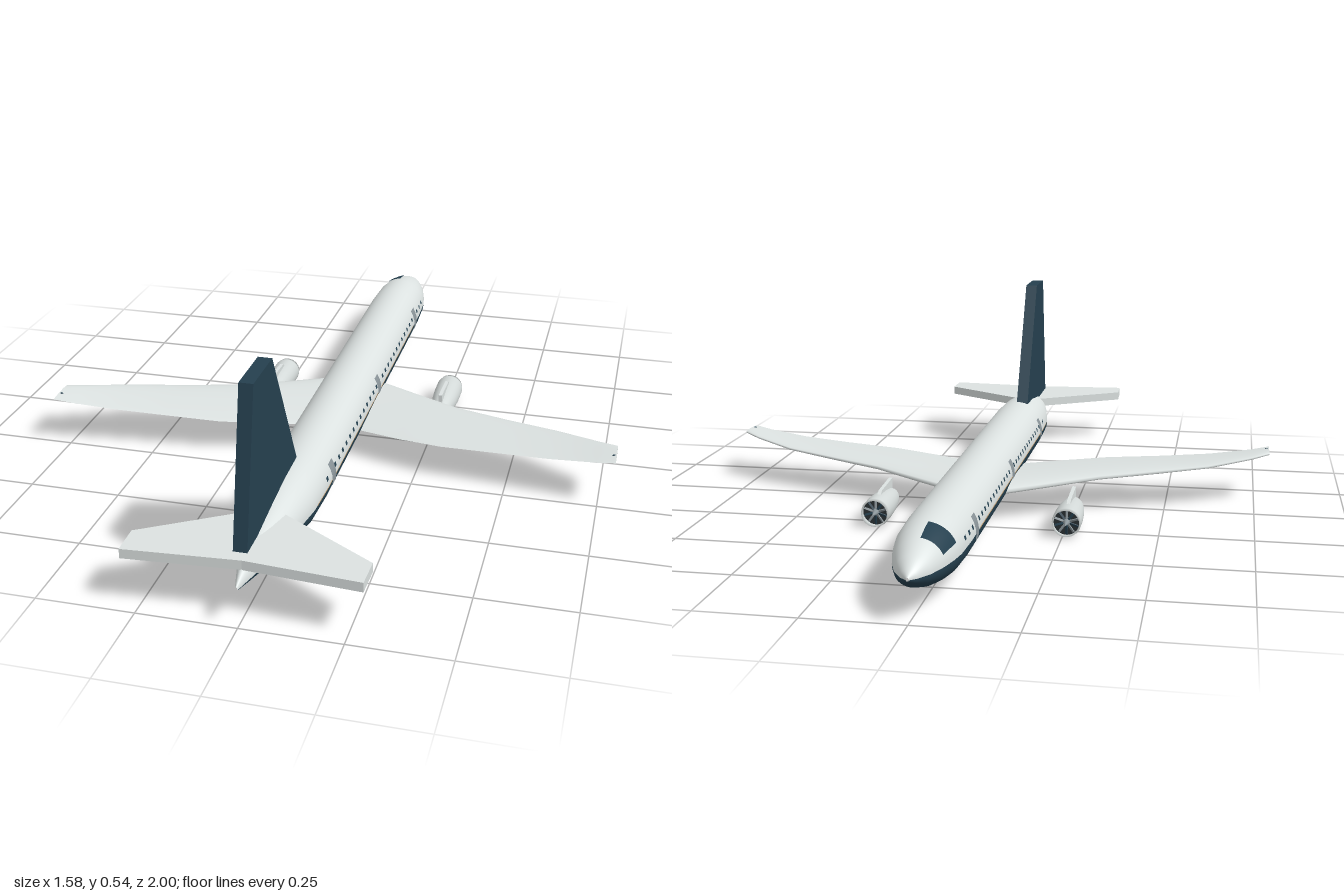
import * as THREE from 'three';

const mat = (name, color, side = THREE.FrontSide) => {
  const m = new THREE.MeshStandardMaterial({ color, side });
  m.name = name;
  return m;
};
const D = Math.PI / 180;

// Fuselage stations: z, top y, bottom y, half width
const CY = 0.105;
const STATIONS = [
  [-1, 0.111, 0.102, 0.003], [-0.985, 0.126, 0.09, 0.02], [-0.95, 0.147, 0.071, 0.042],
  [-0.9, 0.166, 0.055, 0.06], [-0.85, 0.179, 0.045, 0.072], [-0.8, 0.186, 0.039, 0.08],
  [-0.7, 0.19, 0.035, 0.084], [0.5, 0.19, 0.035, 0.084], [0.62, 0.186, 0.038, 0.08],
  [0.74, 0.172, 0.052, 0.062], [0.85, 0.156, 0.071, 0.04], [0.94, 0.14, 0.09, 0.019], [1, 0.112, 0.103, 0.003],
];

// Point on the fuselage skin at z and angle a (0 = +x side, 90 degrees = top)
function skin(z, a, off = 0) {
  let i = 0;
  while (i < STATIONS.length - 2 && z > STATIONS[i + 1][0]) i++;
  const p = STATIONS[i], q = STATIONS[i + 1], t = (z - p[0]) / (q[0] - p[0]);
  const [top, bot, w] = [1, 2, 3].map((k) => p[k] + (q[k] - p[k]) * t);
  const h = Math.sin(a) >= 0 ? top - CY : CY - bot;
  return [(w + off) * Math.cos(a), CY + (h + off) * Math.sin(a), z];
}

// Surface from a rows x cols grid of points
function grid(rows, cols, point, flip = false) {
  const pos = [], idx = [];
  for (let i = 0; i <= rows; i++) for (let j = 0; j <= cols; j++) pos.push(...point(i, j));
  for (let i = 0; i < rows; i++) {
    for (let j = 0; j < cols; j++) {
      const a = i * (cols + 1) + j, b = a + 1, c = a + cols + 1, d = c + 1;
      if (flip) idx.push(a, c, b, b, c, d);
      else idx.push(a, b, c, b, d, c);
    }
  }
  const g = new THREE.BufferGeometry();
  g.setAttribute('position', new THREE.Float32BufferAttribute(pos, 3));
  g.setIndex(idx);
  g.computeVertexNormals();
  return g;
}

// Strip of skin between two z values and two angles in degrees
function patch(z0, z1, a0, a1, off, cols = 4) {
  const zs = [z0, ...STATIONS.map((s) => s[0]).filter((z) => z > z0 && z < z1), z1];
  return grid(zs.length - 1, cols, (i, j) => skin(zs[i], (a0 + ((a1 - a0) * j) / cols) * D, off));
}

function outline(points) {
  return new THREE.Shape(points.map(([x, y]) => new THREE.Vector2(x, y)));
}

export function createModel() {
  const white = mat('white paint', 0xdce2e1);
  const shell = mat('engine shell', 0xd3d9d8, THREE.DoubleSide);
  const blue = mat('dark blue paint', 0x25404f);
  const gold = mat('tan trim', 0xd2ad80);
  const grey = mat('door grey', 0x8b959a);
  const dark = mat('fan shadow', 0x2a3034, THREE.DoubleSide);

  const model = new THREE.Group();
  model.name = 'airliner';
  const add = (name, geo, material, parent = model) => {
    const m = new THREE.Mesh(geo, material);
    m.name = name;
    parent.add(m);
    return m;
  };

  // Body in two colours
  add('upperFuselage', patch(-1, 1, 0, 180, 0, 24), white);
  add('lowerFuselage', patch(-1, 1, 180, 360, 0, 24), blue);

  // Trim, doors and windows on both sides
  const doors = [-0.635, -0.095, 0.445];
  for (const s of [1, -1]) {
    const side = (z, w, a0, a1, off) => (s > 0
      ? patch(z - w / 2, z + w / 2, a0, a1, off)
      : patch(z - w / 2, z + w / 2, 180 - a1, 180 - a0, off));
    add('trimLine', side(0, 1.2, 0, 2.5, 0.0008), gold);
    for (const z of doors) add('door', side(z, 0.036, -11, 32, 0.002), grey);
    for (let k = 0; k < 32; k++) {
      const z = -0.755 + k * 0.0405;
      if (doors.every((d) => Math.abs(d - z) > 0.025)) add('window', side(z, 0.014, 13.5, 21, 0.0015), blue);
    }
  }
  add('cockpitWindow', patch(-0.895, -0.82, 95, 155, 0.002, 10), blue);

  // Wings: x, leading z, trailing z, mid y, half thickness
  const ribs = [
    [0, -0.235, 0.11, 0.083, 0.016], [0.08, -0.19, 0.13, 0.085, 0.015], [0.2, -0.12, 0.168, 0.091, 0.013],
    [0.32, -0.05, 0.197, 0.098, 0.011], [0.48, 0.01, 0.212, 0.106, 0.009], [0.62, 0.06, 0.228, 0.115, 0.007],
    [0.74, 0.125, 0.245, 0.129, 0.006], [0.79, 0.155, 0.253, 0.138, 0.005],
  ];
  for (const s of [1, -1]) {
    const wing = grid(ribs.length, 20, (i, j) => {
      const [x, zl, zt, y, t] = ribs[Math.min(i, ribs.length - 1)];
      const a = (j / 20) * Math.PI * 2, open = i < ribs.length ? 1 : 0;
      const c = Math.cos(a);
      // thick near the leading edge, thin at the trailing edge
      return [s * x, y + open * t * Math.sin(a) * (1 - 0.45 * c), (zl + zt) / 2 + open * ((zt - zl) / 2) * c];
    }, s > 0);
    add(s > 0 ? 'leftWing' : 'rightWing', wing, white);
    const lamp = add('wingTipLamp', new THREE.SphereGeometry(0.006, 10, 8), blue);
    lamp.position.set(s * 0.783, 0.137, 0.215);
  }

  // Tail fin
  const fin = new THREE.ExtrudeGeometry(
    outline([[0.51, 0.185], [0.7, 0.545], [0.845, 0.545], [0.925, 0.155], [0.9, 0.13], [0.6, 0.16]]),
    { depth: 0.035, bevelEnabled: false });
  fin.rotateY(-Math.PI / 2).translate(0.004, 0, 0);
  add('tailFin', fin, blue);

  // Tailplane
  const half = [[0.035, 0.735], [0.29, 0.895], [0.288, 0.978]];
  const tail = new THREE.ExtrudeGeometry(
    outline([...half, [0, 0.957], ...half.map(([x, z]) => [-x, z]).reverse()]),
    { depth: 0.025, bevelEnabled: false });
  tail.rotateX(Math.PI / 2).translate(0, 0.156, 0);
  add('tailplane', tail, white);

  // Engines
  const shellProfile = [[0.034, -0.3], [0.036, -0.315], [0.039, -0.3], [0.039, -0.25], [0.036, -0.2], [0.03, -0.155], [0.023, -0.13]];
  for (const s of [1, -1]) {
    const engine = new THREE.Group();
    engine.name = s > 0 ? 'leftEngine' : 'rightEngine';
    engine.position.set(s * 0.26, 0.041, 0);
    model.add(engine);
    const nacelle = new THREE.LatheGeometry(shellProfile.map(([r, z]) => new THREE.Vector2(r, z)), 28);
    add('nacelle', nacelle.rotateX(Math.PI / 2), shell, engine);
    add('intake', new THREE.CircleGeometry(0.037, 28), dark, engine).position.z = -0.29;
    add('exhaust', new THREE.CircleGeometry(0.024, 24), dark, engine).position.z = -0.138;
    for (let k = 0; k < 10; k++) {
      const blade = new THREE.BoxGeometry(0.006, 0.024, 0.003);
      blade.rotateY(0.5).translate(0, 0.021, 0).rotateZ((k * Math.PI) / 5);
      add('fanBlade', blade, k % 2 ? blue : grey, engine).position.z = -0.296;
    }
    const spinner = new THREE.ConeGeometry(0.011, 0.043, 16).rotateX(-Math.PI / 2);
    add('spinner', spinner, grey, engine).position.z = -0.3115;
    const plug = new THREE.ConeGeometry(0.01, 0.012, 16).rotateX(Math.PI / 2);
    add('exhaustPlug', plug, blue, engine).position.z = -0.133;

    // Pylon rising from the shell
    const pylon = new THREE.ExtrudeGeometry(
      outline([[-0.262, 0.035], [-0.245, 0.047], [-0.13, 0.053], [-0.13, 0.018], [-0.2, 0.03]]),
      { depth: 0.01, bevelEnabled: false });
    add('pylon', pylon.rotateY(-Math.PI / 2).translate(0.005, 0, 0), white, engine);
  }
  return model;
}
